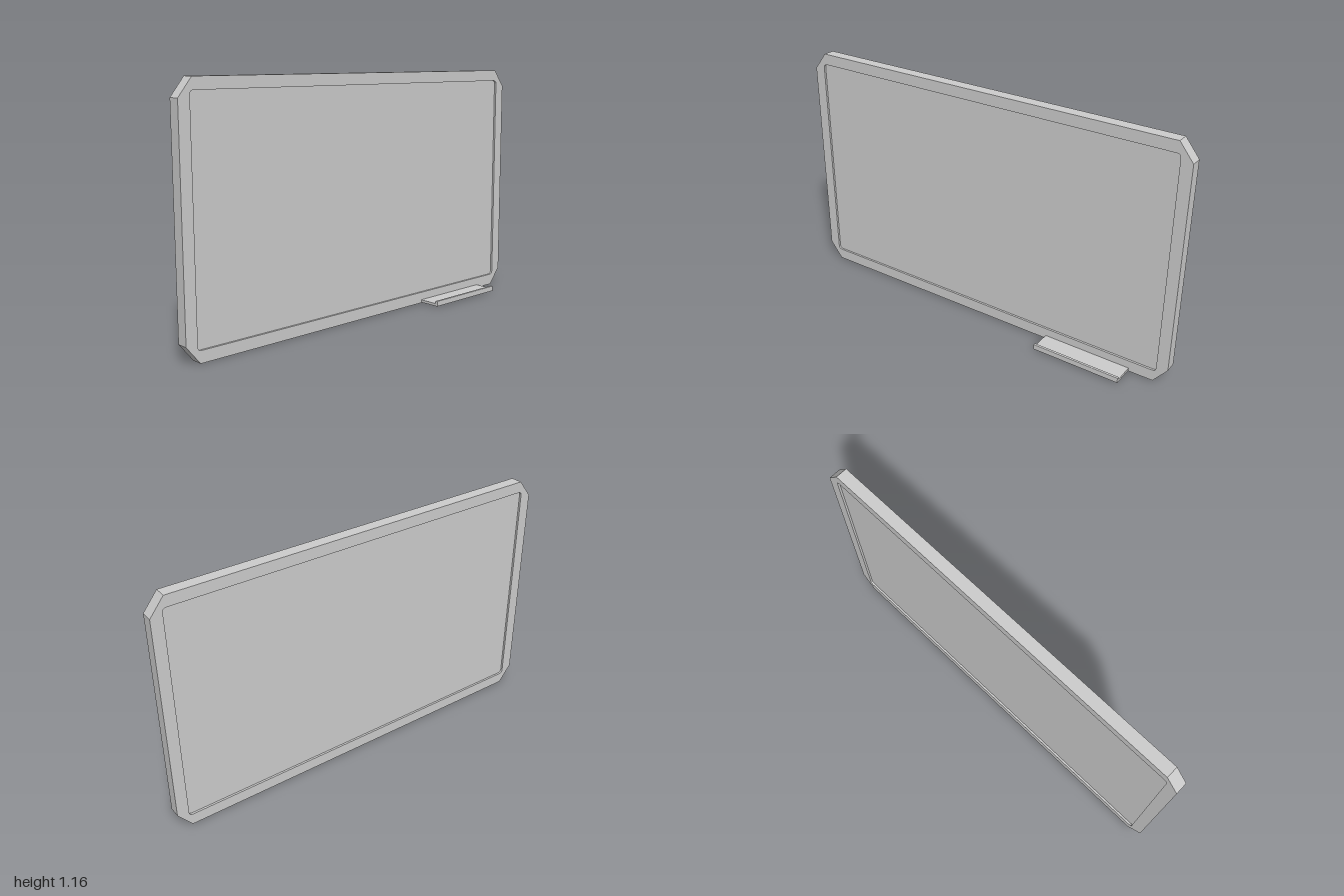
import * as THREE from 'three';

const BACK = -0.084, FRONT = -0.027, HEIGHT = 1.164, RECESS = 0.01;

// Rectangle with every corner cut by (cx, cy); rounded corners when round is set
function trace(path, x, y0, y1, cx, cy, round) {
  const corner = (px, py, ex, ey) =>
    round ? path.quadraticCurveTo(px, py, ex, ey) : path.lineTo(ex, ey);
  path.moveTo(-x + cx, y0);
  path.lineTo(x - cx, y0);
  corner(x, y0, x, y0 + cy);
  path.lineTo(x, y1 - cy);
  corner(x, y1, x - cx, y1);
  path.lineTo(-x + cx, y1);
  corner(-x, y1, -x, y1 - cy);
  path.lineTo(-x, y0 + cy);
  corner(-x, y0, -x + cx, y0);
  return path;
}

const opening = (path) => trace(path, 0.945, 0.055, 1.11, 0.018, 0.018, true);

export function createModel() {
  const group = new THREE.Group();
  const material = new THREE.MeshStandardMaterial({ color: 0xcccccc });

  const add = (name, shape, depth) => {
    const geometry = new THREE.ExtrudeGeometry(shape, { depth, bevelEnabled: false, curveSegments: 4 });
    const mesh = new THREE.Mesh(geometry, material);
    mesh.name = name;
    group.add(mesh);
    return mesh;
  };

  // Frame with cut corners, turned to face +x
  const outline = trace(new THREE.Shape(), 1, 0, HEIGHT, 0.066, 0.083, false);
  outline.holes.push(opening(new THREE.Path()));
  const frame = add('frame', outline, FRONT - BACK);
  frame.rotation.y = Math.PI / 2;
  frame.position.x = BACK;

  // Writing panel, set back from the frame on both sides
  const panel = add('panel', opening(new THREE.Shape()), FRONT - BACK - 2 * RECESS);
  panel.rotation.y = Math.PI / 2;
  panel.position.x = BACK + RECESS;

  // Pen tray: a ledge with a small rounded lip
  const profile = new THREE.Shape();
  profile.moveTo(FRONT - 0.004, 0.003);
  profile.lineTo(0.081, 0.003);
  profile.quadraticCurveTo(0.084, 0.003, 0.084, 0.006);
  profile.lineTo(0.084, 0.027);
  profile.quadraticCurveTo(0.084, 0.03, 0.081, 0.03);
  profile.lineTo(0.074, 0.03);
  profile.quadraticCurveTo(0.071, 0.03, 0.071, 0.027);
  profile.lineTo(0.071, 0.019);
  profile.quadraticCurveTo(0.071, 0.016, 0.068, 0.016);
  profile.lineTo(FRONT - 0.004, 0.016);
  profile.closePath();
  const tray = add('penTray', profile, 0.436);
  tray.position.z = -0.815;

  return group;
}
